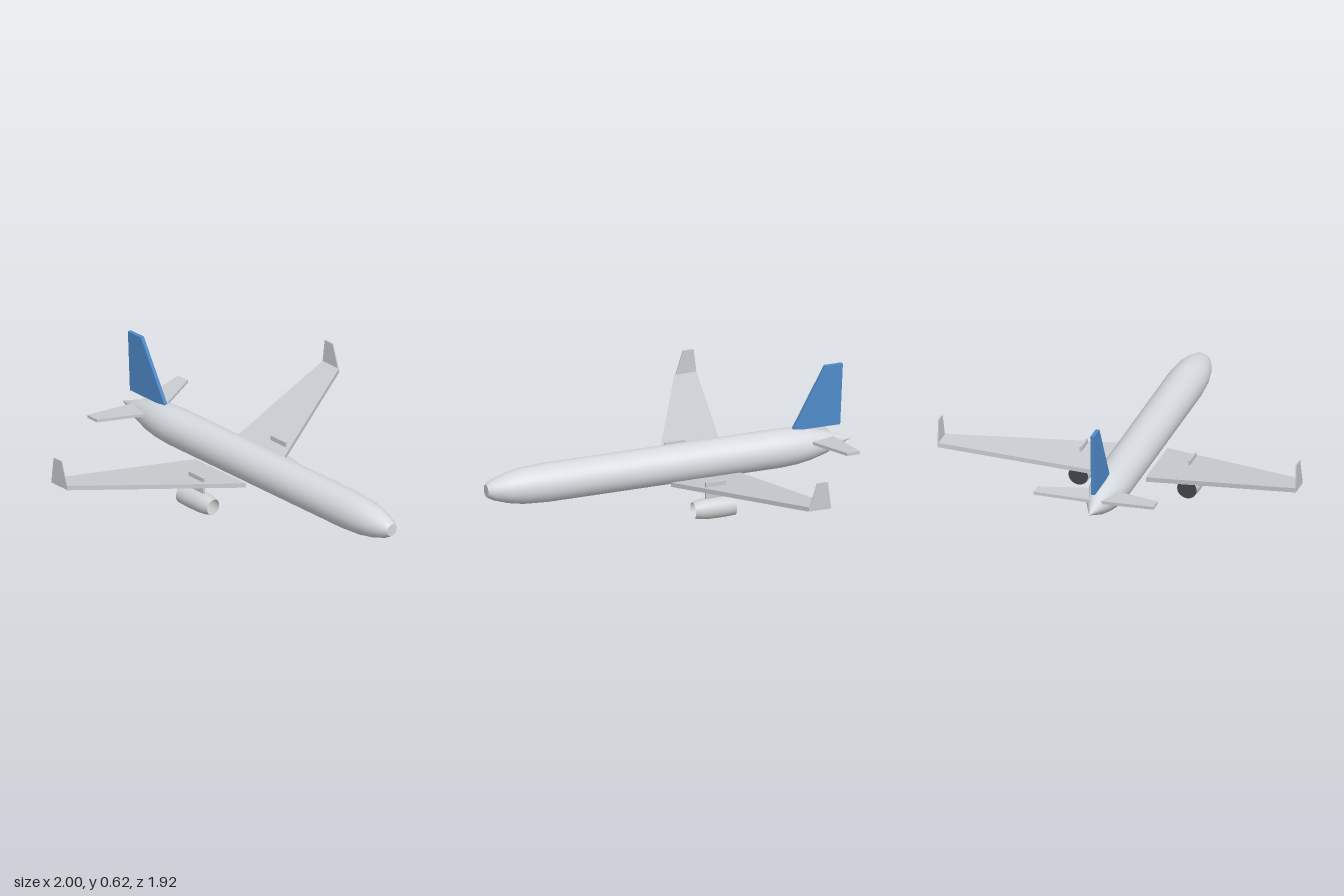
import * as THREE from 'three';
import { ConvexGeometry } from 'three/addons/geometries/ConvexGeometry.js';

const mat = (name, color, side = THREE.FrontSide) =>
  Object.assign(new THREE.MeshStandardMaterial({ color, side }), { name });

// Tapered slab between two rectangles, each given as { x: [a, b], y: [a, b], z: [a, b] }.
function slab(...ends) {
  const points = [];
  for (const e of ends)
    for (const x of e.x) for (const y of e.y) for (const z of e.z) points.push(new THREE.Vector3(x, y, z));
  return new ConvexGeometry([...new Map(points.map((p) => [p.toArray().join(), p])).values()]);
}

// Round body along x from [x, radius] pairs, running from tail to nose.
function bodyAlongX(profile, sides) {
  const geometry = new THREE.LatheGeometry(profile.map(([x, r]) => new THREE.Vector2(r, x)), sides);
  return geometry.rotateZ(-Math.PI / 2);
}

export function createModel() {
  const hull = mat('hull grey', 0xd6dade);
  const wingGrey = mat('wing grey', 0xc8ccd0);
  const engineGrey = mat('engine grey', 0xd0d2d4, THREE.DoubleSide);
  const blue = mat('tail blue', 0x4f8bc9);
  const dark = mat('fan dark grey', 0x44464a, THREE.DoubleSide);

  const model = new THREE.Group();
  model.name = 'airliner';
  const add = (parent, name, geometry, material) => {
    const mesh = new THREE.Mesh(geometry, material);
    mesh.name = name;
    parent.add(mesh);
    return mesh;
  };

  // Fuselage with pointed tail and blunt nose
  const fuselage = bodyAlongX([
    [-1, 0], [-0.89, 0.044], [-0.85, 0.06], [-0.765, 0.083], [-0.69, 0.095], [-0.6, 0.101], [0, 0.101],
    [0.68, 0.101], [0.81, 0.093], [0.89, 0.078], [0.965, 0.054], [1, 0.033],
  ], 32);
  add(model, 'fuselage', fuselage, hull).position.y = 0.203;
  const noseCap = add(model, 'noseCap', new THREE.CircleGeometry(0.033, 32), hull);
  noseCap.rotation.y = Math.PI / 2;
  noseCap.position.set(1, 0.203, 0);

  // Vertical fin
  add(model, 'tailFin', slab(
    { x: [-0.935, -0.673], y: [0.29], z: [-0.01, 0.01] },
    { x: [-0.95, -0.853], y: [0.622], z: [-0.01, 0.01] },
  ), blue);

  // Mirrored wings, stabilisers and engines
  for (const s of [1, -1]) {
    const side = s > 0 ? 'left' : 'right';

    add(model, `${side}Wing`, slab(
      { x: [-0.35, 0.027], y: [0.122, 0.146], z: [s * 0.105] },
      { x: [-0.52, -0.4], y: [0.249, 0.273], z: [s * 0.957] },
    ), wingGrey);
    add(model, `${side}Winglet`, slab(
      { x: [-0.52, -0.4], y: [0.255], z: [s * 0.952, s * 0.958] },
      { x: [-0.503, -0.445], y: [0.398], z: [s * 0.952, s * 0.958] },
    ), wingGrey);
    add(model, `${side}Stabiliser`, slab(
      { x: [-0.89, -0.742], y: [0.223, 0.239], z: [s * 0.03] },
      { x: [-0.925, -0.853], y: [0.245, 0.261], z: [s * 0.32] },
    ), wingGrey);

    // Engine: open nacelle, inner fan disc and pylon
    const engine = new THREE.Group();
    engine.name = `${side}Engine`;
    engine.position.set(0, 0.056, s * 0.29);
    model.add(engine);
    add(engine, 'nacelle', bodyAlongX(
      [[-0.243, 0.053], [-0.18, 0.056], [-0.1, 0.055], [-0.06, 0.051], [-0.022, 0.042]], 24), engineGrey);
    const fan = add(engine, 'fan', new THREE.CircleGeometry(0.053, 24), dark);
    fan.rotation.y = Math.PI / 2;
    fan.position.x = -0.235;
    const pylon = add(engine, 'pylon', new THREE.BoxGeometry(0.11, 0.1, 0.011), wingGrey);
    pylon.position.set(-0.145, 0.092, 0);
  }
  return model;
}
